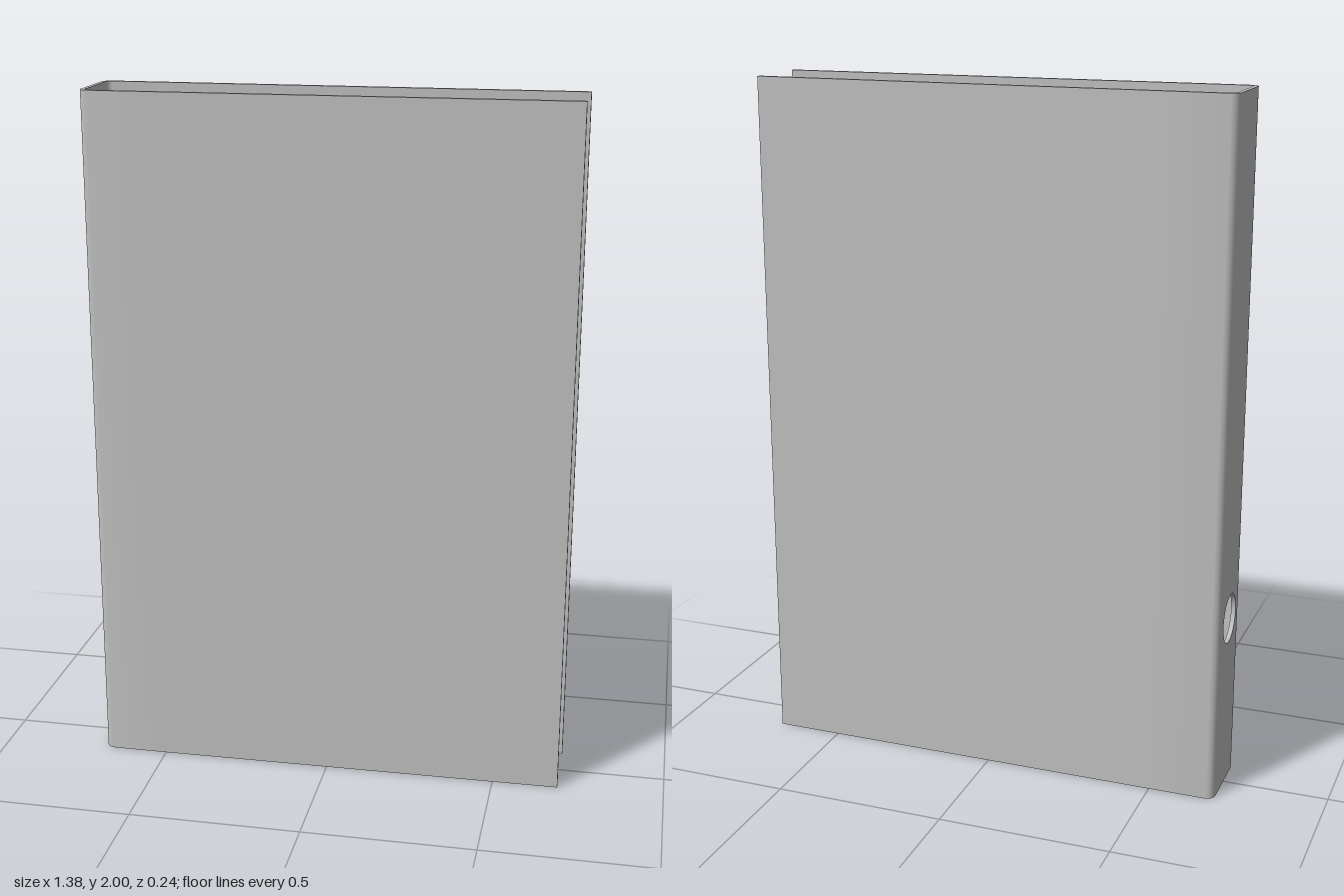
import * as THREE from 'three';
import { toCreasedNormals } from 'three/addons/utils/BufferGeometryUtils.js';

export function createModel() {
  const binder = new THREE.Group();
  binder.name = 'ringBinder';
  const grey = new THREE.MeshStandardMaterial({ color: 0xc0c0c0 });
  grey.name = 'light grey';

  const add = (name, geometry) => {
    const mesh = new THREE.Mesh(geometry, grey);
    mesh.name = name;
    binder.add(mesh);
    return mesh;
  };

  // Covers: thin boards in plan, each curling round into the spine
  const H = 2, X = 0.692, BEND = 0.088;
  const cover = (name, side, outerEnd, innerEnd) => {
    const s = new THREE.Shape();
    s.moveTo(-X, -side * BEND);
    s.quadraticCurveTo(-X, -side * 0.12, -0.66, -side * 0.12);
    s.lineTo(-0.5, -side * 0.12);
    s.lineTo(X, -side * outerEnd);
    s.lineTo(X, -side * innerEnd);
    s.lineTo(-0.5, -side * 0.106);
    s.lineTo(-0.66, -side * 0.107);
    s.quadraticCurveTo(-0.679, -side * 0.107, -0.679, -side * BEND);
    s.closePath();
    const g = new THREE.ExtrudeGeometry(s, { depth: H, bevelEnabled: false, curveSegments: 6 });
    g.rotateX(-Math.PI / 2);
    add(name, toCreasedNormals(g, 0.6));
  };
  cover('frontCover', 1, 0.109, 0.094);
  cover('backCover', -1, 0.118, 0.103);

  // Spine with its round finger hole
  const spine = new THREE.Shape();
  spine.moveTo(-BEND, 0);
  spine.lineTo(BEND, 0);
  spine.lineTo(BEND, H);
  spine.lineTo(-BEND, H);
  spine.closePath();
  const hole = new THREE.Path();
  hole.absarc(0, 0.515, 0.072, 0, Math.PI * 2, true);
  spine.holes.push(hole);
  const spineGeo = new THREE.ExtrudeGeometry(spine, { depth: 0.013, bevelEnabled: false, curveSegments: 24 });
  spineGeo.rotateY(-Math.PI / 2).translate(-0.679, 0, 0);
  add('spine', toCreasedNormals(spineGeo, 0.6));

  // Page blocks, slightly shuffled: z back, z front, x left, x right, bottom, top
  [
    [-0.1, -0.066, -0.611, 0.602, 0.012, 1.943],
    [-0.066, -0.027, -0.596, 0.618, 0.04, 1.95],
    [-0.027, 0.018, -0.611, 0.602, 0.02, 1.935],
    [0.018, 0.05, -0.596, 0.618, 0.012, 1.943],
  ].forEach(([z0, z1, x0, x1, y0, y1], i) => {
    const g = new THREE.BoxGeometry(x1 - x0, y1 - y0, z1 - z0);
    add(`pageBlock${i + 1}`, g).position.set((x0 + x1) / 2, (y0 + y1) / 2, (z0 + z1) / 2);
  });

  // Three arched rings rising from the back cover
  const path = new THREE.CurvePath();
  const points = [
    [-0.632, -0.11], [-0.632, 0.035], [-0.615, 0.07], [-0.58, 0.088],
    [-0.545, 0.07], [-0.527, 0.035], [-0.527, -0.11],
  ].map(([x, z]) => new THREE.Vector3(x, 0, z));
  for (let i = 1; i < points.length; i++) path.add(new THREE.LineCurve3(points[i - 1], points[i]));
  const ringGeo = new THREE.TubeGeometry(path, 48, 0.008, 8, false);
  for (const y of [0.262, 1.045, 1.75]) add('ring', ringGeo).position.y = y;

  return binder;
}
